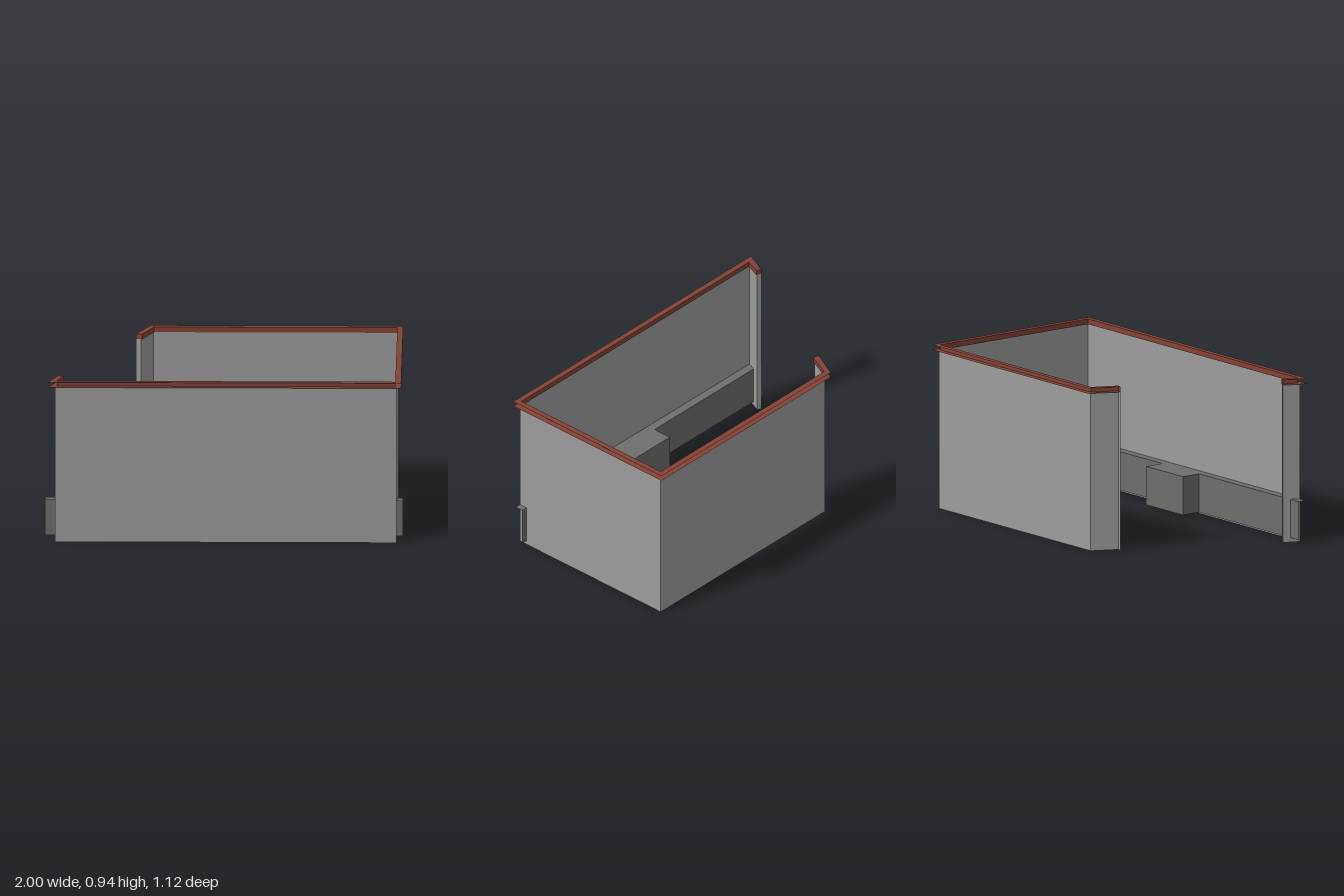
import * as THREE from 'three';

const mat = (name, color) =>
  new THREE.MeshStandardMaterial({ name, color, side: THREE.DoubleSide });

// Sheet of flat quads between two polylines of equal length: plan points [x, z], one height each
function sheet(a, ya, b, yb) {
  const pos = [];
  for (let i = 0; i < a.length - 1; i++) {
    const p = [a[i][0], ya, a[i][1]], q = [a[i + 1][0], ya, a[i + 1][1]];
    const r = [b[i + 1][0], yb, b[i + 1][1]], s = [b[i][0], yb, b[i][1]];
    pos.push(...p, ...q, ...r, ...p, ...r, ...s);
  }
  const g = new THREE.BufferGeometry();
  g.setAttribute('position', new THREE.Float32BufferAttribute(pos, 3));
  g.computeVertexNormals();
  return g;
}

export function createModel() {
  const model = new THREE.Group();
  const wallGrey = mat('wall grey', 0x9c9c9c);
  const copingRed = mat('coping red brown', 0x844237);
  const benchGrey = mat('bench dark grey', 0x6c6f6b);

  const group = (name) => {
    const g = new THREE.Group();
    g.name = name;
    model.add(g);
    return g;
  };
  const add = (parent, name, geometry, material) => {
    const m = new THREE.Mesh(geometry, material);
    m.name = name;
    parent.add(m);
  };
  const upright = (path, y0, y1) => sheet(path, y0, path, y1);

  // Plan lines, running from the front stub round to the back stub
  const outer = [[-0.925, 0.425], [-0.985, 0.557], [0.99, 0.557], [0.99, -0.56], [-0.417, -0.56], [-0.5, -0.395]];
  const inner = [[-0.897, 0.437], [-0.932, 0.525], [0.957, 0.525], [0.957, -0.525], [-0.4, -0.525], [-0.466, -0.384]];
  const wall = [[-0.902, 0.435], [-0.943, 0.531], [0.964, 0.531], [0.964, -0.531], [-0.403, -0.531], [-0.472, -0.386]];
  const last = wall.length - 1;

  // Walls with narrow returns at the two free ends
  const walls = group('walls');
  add(walls, 'wallSheet', upright(wall, 0, 0.907), wallGrey);
  for (const i of [0, last])
    add(walls, 'wallEnd', upright([wall[i], outer[i]], 0, 0.907), wallGrey);

  // Coping: a channel open to the outside, along the top of the walls
  const coping = group('coping');
  for (const [name, y] of [['copingTop', 0.937], ['copingUnderside', 0.907]])
    add(coping, name, sheet(inner, y, outer, y), copingRed);
  add(coping, 'copingWeb', upright(inner, 0.907, 0.937), copingRed);
  for (const i of [0, last])
    add(coping, 'copingEnd', upright([inner[i], outer[i]], 0.907, 0.937), copingRed);

  // Low bench along the inside of the front wall, with a deeper middle
  const bench = group('bench');
  const face = [[-1, 0.48], [-0.1, 0.48], [-0.1, 0.365], [0.23, 0.365], [0.23, 0.48], [1, 0.48]];
  const back = face.map(([x]) => [x, 0.53]);
  add(bench, 'benchFace', upright(face, 0.025, 0.245), benchGrey);
  add(bench, 'benchTop', sheet(face, 0.245, back, 0.245), benchGrey);

  return model;
}
